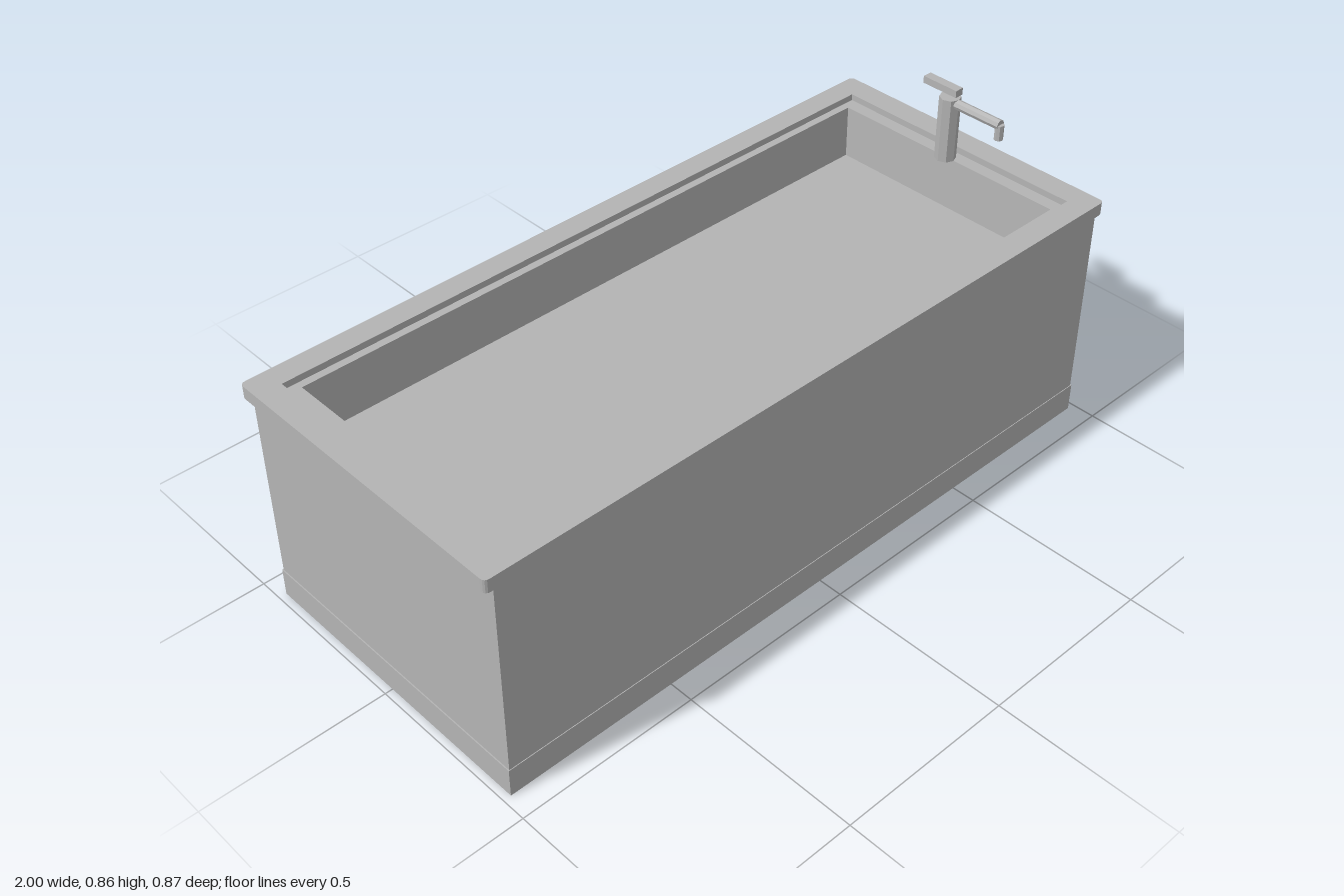
import * as THREE from 'three';

const stone = new THREE.MeshStandardMaterial({ color: 0xb4b4b4 });
stone.name = 'plain grey';

// Skin a stack of rectangles [halfWidth, halfDepth, y], capped at both ends
function loftRects(sections) {
  const rings = sections.map(([w, d, y]) =>
    [[w, d], [w, -d], [-w, -d], [-w, d]].map(([x, z]) => [x, y, z]));
  const pos = [];
  const quad = (a, b, c, d) => [a, b, c, a, c, d].forEach(p => pos.push(...p));
  for (let i = 0; i < rings.length - 1; i++) {
    for (let j = 0; j < 4; j++) {
      const k = (j + 1) % 4;
      quad(rings[i][j], rings[i][k], rings[i + 1][k], rings[i + 1][j]);
    }
  }
  const last = rings[rings.length - 1];
  quad(...last);
  quad(...[...rings[0]].reverse());
  const g = new THREE.BufferGeometry();
  g.setAttribute('position', new THREE.Float32BufferAttribute(pos, 3));
  g.computeVertexNormals();
  return g;
}

// Flat frame with softened outer corners and a rectangular opening
function frame(w, d, r, iw, id, height) {
  const s = new THREE.Shape();
  s.moveTo(-w + r, -d);
  s.lineTo(w - r, -d);
  s.quadraticCurveTo(w, -d, w, -d + r);
  s.lineTo(w, d - r);
  s.quadraticCurveTo(w, d, w - r, d);
  s.lineTo(-w + r, d);
  s.quadraticCurveTo(-w, d, -w, d - r);
  s.lineTo(-w, -d + r);
  s.quadraticCurveTo(-w, -d, -w + r, -d);
  s.holes.push(new THREE.Path([
    new THREE.Vector2(-iw, -id), new THREE.Vector2(-iw, id),
    new THREE.Vector2(iw, id), new THREE.Vector2(iw, -id)]));
  const g = new THREE.ExtrudeGeometry(s, { depth: height, bevelEnabled: false, curveSegments: 4 });
  return g.rotateX(-Math.PI / 2);
}

function octagonRod(radius, length) {
  return new THREE.CylinderGeometry(radius, radius, length, 8).toNonIndexed();
}

export function createModel() {
  const group = new THREE.Group();
  const add = (name, geometry, x = 0, y = 0, z = 0, parent = group) => {
    const mesh = new THREE.Mesh(geometry, stone);
    mesh.name = name;
    mesh.position.set(x, y, z);
    parent.add(mesh);
    return mesh;
  };

  // Tub shell: outer walls, inner ledge, tapered basin walls and floor
  add('tubShell', loftRects([
    [0.976, 0.431, 0.001], [0.976, 0.431, 0.645],
    [0.895, 0.35, 0.645], [0.888, 0.343, 0.5]]));
  add('plinth', new THREE.BoxGeometry(1.958, 0.08, 0.866), 0, 0.04, 0);
  add('rim', frame(1, 0.436, 0.015, 0.932, 0.371, 0.036), 0, 0.627, 0);

  // Tap
  const tap = new THREE.Group();
  tap.name = 'tap';
  tap.position.set(0.893, 0, 0);
  group.add(tap);

  const flat = (g) => { g.computeVertexNormals(); return g; };
  add('tapColumn', flat(octagonRod(0.029, 0.183)), 0, 0.7365, 0, tap);
  add('spout', flat(octagonRod(0.014, 0.158).rotateX(Math.PI / 2)), 0, 0.814, 0.089, tap);
  add('nozzle', flat(octagonRod(0.012, 0.043)), 0, 0.7935, 0.166, tap);
  add('handle', new THREE.BoxGeometry(0.026, 0.02, 0.11), 0, 0.849, -0.027, tap);

  return group;
}
